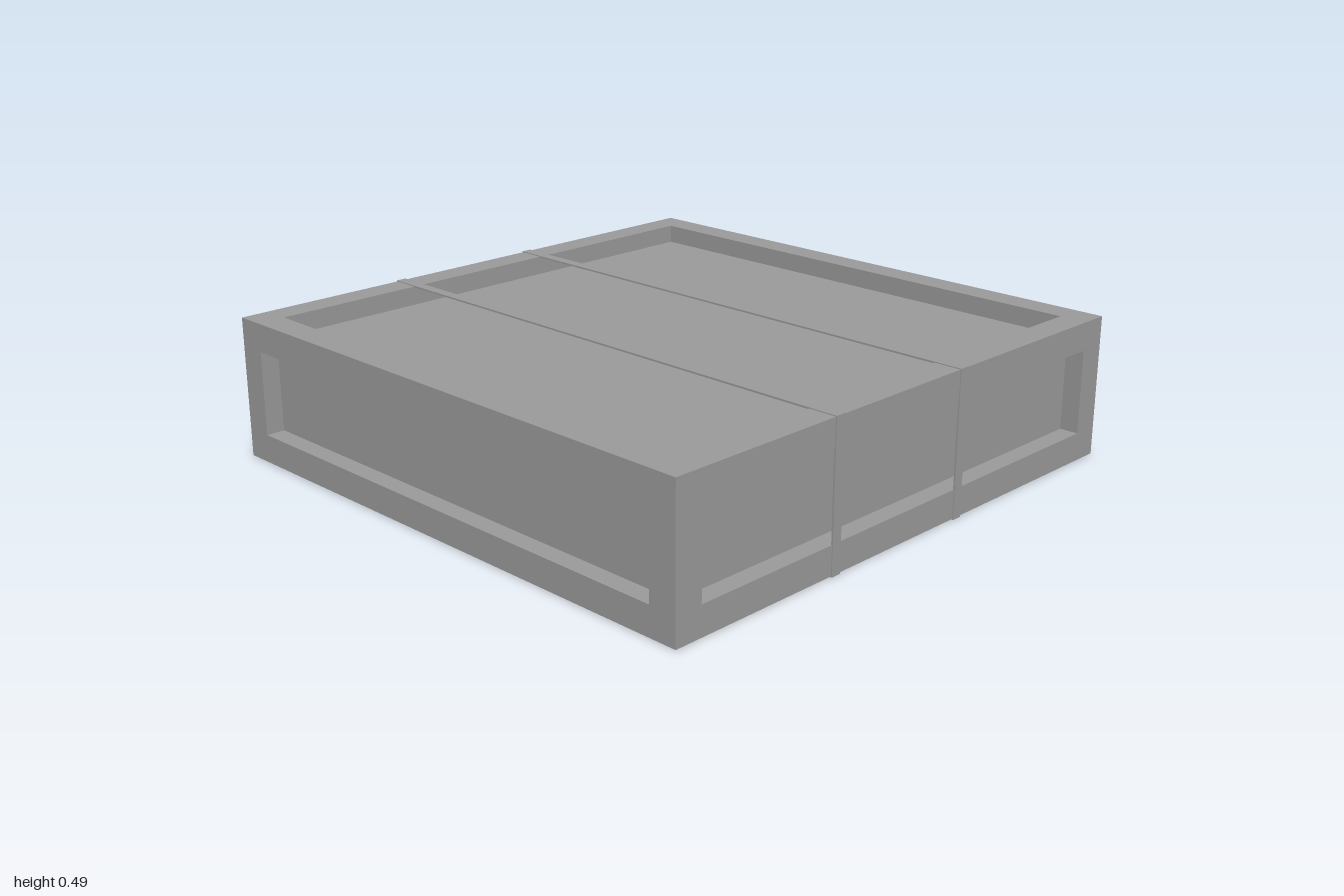
import * as THREE from 'three';

export function createModel() {
  const model = new THREE.Group();
  const material = new THREE.MeshStandardMaterial({ color: 0x9b9b9b });

  // Box given by its size and centre
  function box(parent, name, [w, h, d], [x, y, z]) {
    const mesh = new THREE.Mesh(new THREE.BoxGeometry(w, h, d), material);
    mesh.name = name;
    mesh.position.set(x, y, z);
    parent.add(mesh);
  }

  const half = 0.997, height = 0.482, midY = 0.244;
  const beam = 0.097, recess = 0.065;
  const open = 2 * (half - beam);
  const offset = half - beam / 2, offsetY = height / 2 - beam / 2;

  // Recessed panels on all six sides
  const inner = 2 * (half - recess);
  box(model, 'recessedPanels', [inner, height - 2 * recess, inner], [0, midY, 0]);

  // Frame: four corner posts joined by rails along the top and bottom
  const frame = new THREE.Group();
  frame.name = 'frame';
  model.add(frame);
  for (const s of [-1, 1]) {
    for (const t of [-1, 1]) {
      box(frame, 'cornerPost', [beam, height, beam], [s * offset, midY, t * offset]);
      box(frame, 'crossRail', [open, beam, beam], [0, midY + s * offsetY, t * offset]);
      box(frame, 'sideRail', [beam, beam, open], [t * offset, midY + s * offsetY, 0]);
    }
  }

  // Two thin straps wrapped around the crate, slightly proud of the frame
  const width = 0.036, thick = 0.006;
  for (const z of [0.351, -0.229]) {
    const strap = new THREE.Group();
    strap.name = 'strap';
    model.add(strap);
    for (const s of [-1, 1]) {
      box(strap, 'strapSpan', [2, thick, width], [0, midY + s * (midY - thick / 2), z]);
      box(strap, 'strapSide', [thick, 2 * (midY - thick), width], [s * (1 - thick / 2), midY, z]);
    }
  }
  return model;
}
